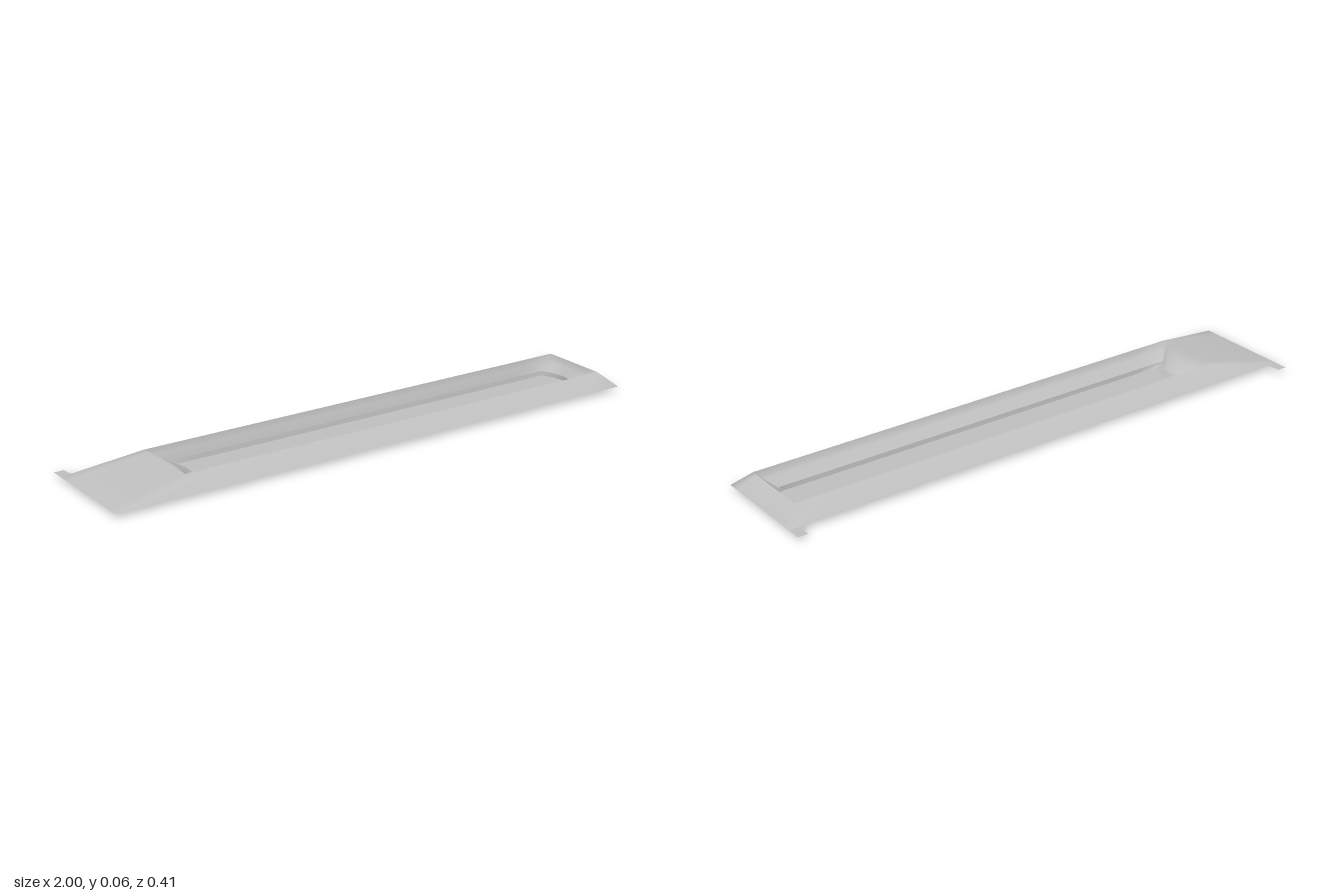
import * as THREE from 'three';

const SIDE = 14, END = 10;

// Closed loop: straight long sides, ends that may bow along x
function ring({ x0, x1, z0, z1, y, bowL = 0, bowR = 0 }) {
  const pts = [];
  const arc = t => 1 - (2 * t - 1) ** 2;
  for (let i = 0; i < SIDE; i++) pts.push([x0 + (x1 - x0) * i / SIDE, y, z0]);
  for (let i = 0; i < END; i++) pts.push([x1 + bowR * arc(i / END), y, z0 + (z1 - z0) * i / END]);
  for (let i = 0; i < SIDE; i++) pts.push([x1 + (x0 - x1) * i / SIDE, y, z1]);
  for (let i = 0; i < END; i++) pts.push([x0 + bowL * arc(i / END), y, z1 + (z0 - z1) * i / END]);
  return pts;
}

function surface(points, index) {
  const g = new THREE.BufferGeometry();
  g.setAttribute('position', new THREE.Float32BufferAttribute(points.flat(), 3));
  g.setIndex(index);
  g.computeVertexNormals();
  return g;
}

// Skin between successive loops, from the outside inwards
function loft(rings) {
  const n = rings[0].length, index = [];
  for (let r = 0; r < rings.length - 1; r++) {
    for (let i = 0; i < n; i++) {
      const a = r * n + i, b = r * n + (i + 1) % n;
      index.push(a, a + n, b, b, a + n, b + n);
    }
  }
  return surface(rings.flat(), index);
}

function fill(loop) {
  const n = loop.length, index = [];
  for (let i = 0; i < n; i++) index.push(n, (i + 1) % n, i);
  return surface([...loop, [0.1, loop[0][1], 0.01]], index);
}

export function createModel() {
  const group = new THREE.Group();
  const grey = new THREE.MeshStandardMaterial({ color: 0xc0c0c0, side: THREE.DoubleSide });
  grey.name = 'plain grey';
  const add = (name, geometry) => {
    const mesh = new THREE.Mesh(geometry, grey);
    mesh.name = name;
    group.add(mesh);
  };

  const base = ring({ x0: -1, x1: 1, z0: -0.153, z1: 0.205, y: 0.015 });
  const crest = ring({ x0: -0.73, x1: 0.945, z0: -0.098, z1: 0.153, y: 0.065 });
  const shoulder = ring({ x0: -0.71, x1: 0.92, z0: -0.087, z1: 0.128, y: 0.043, bowL: 0.02, bowR: 0.01 });
  const opening = ring({ x0: -0.685, x1: 0.885, z0: -0.078, z1: 0.1, y: 0.016, bowL: 0.045, bowR: 0.025 });
  const floor = ring({ x0: -0.645, x1: 0.885, z0: -0.075, z1: 0.098, y: 0, bowL: 0.015, bowR: 0.025 });

  // Sloping rim, the short upright wall and the sunken floor
  add('rim', loft([base, crest, shoulder, opening]));
  add('recessWall', loft([opening, floor]));
  add('recessFloor', fill(floor));

  // Flat tabs with a small fillet at the two back corners
  for (const [name, s, reach] of [['rightTab', -1, 0.2], ['leftTab', 1, 0.205]]) {
    const tab = new THREE.Shape();
    tab.moveTo(s, 0.153);
    tab.lineTo(s, reach);
    tab.lineTo(s * 0.965, reach);
    tab.lineTo(s * 0.963, 0.172);
    tab.quadraticCurveTo(s * 0.962, 0.153, s * 0.945, 0.153);
    const g = new THREE.ShapeGeometry(tab, 6);
    g.rotateX(-Math.PI / 2);
    g.translate(0, 0.015, 0);
    add(name, g);
  }
  return group;
}
